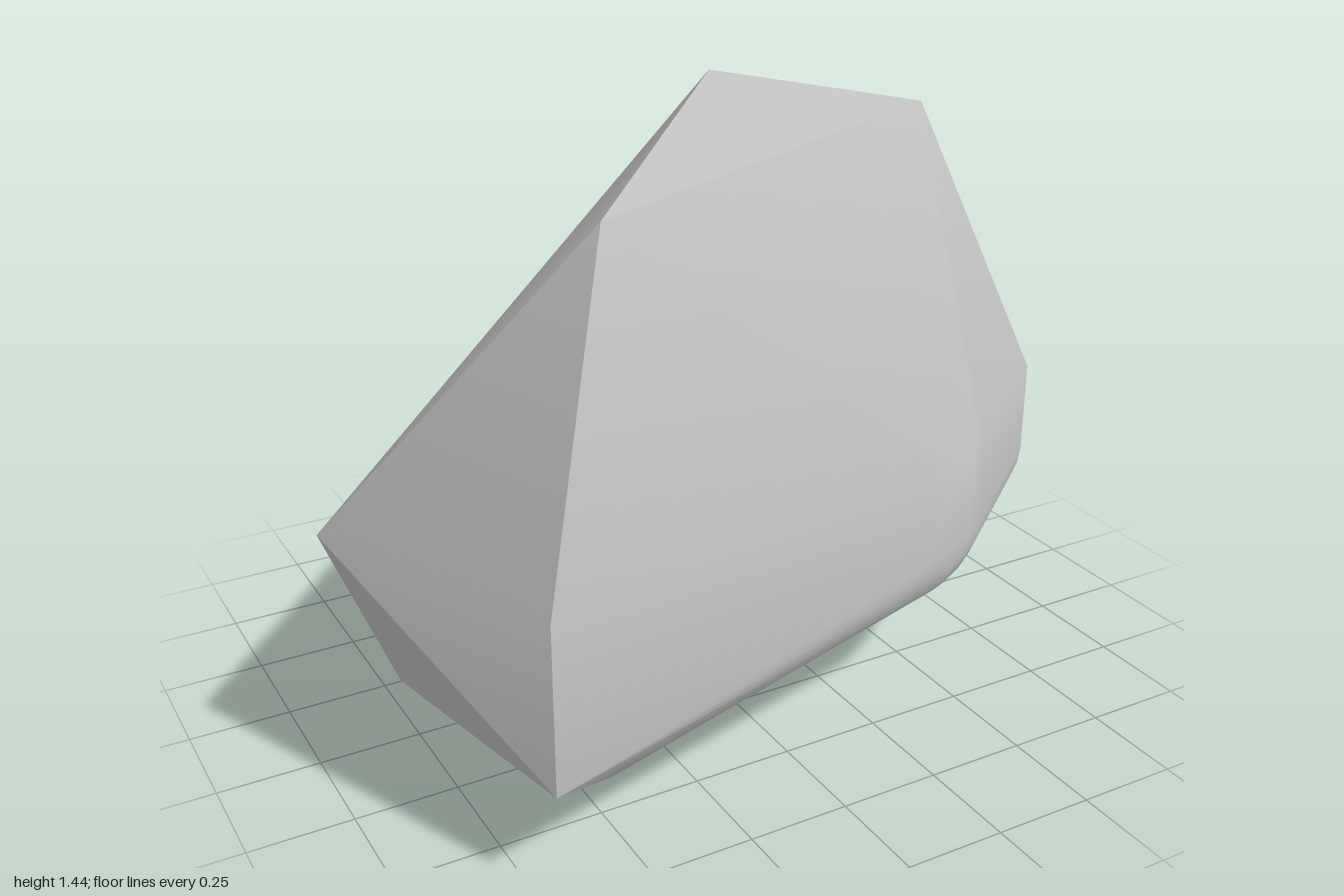
import * as THREE from 'three';
import { ConvexGeometry } from 'three/addons/geometries/ConvexGeometry.js';
import { toCreasedNormals } from 'three/addons/utils/BufferGeometryUtils.js';

export function createModel() {
  const group = new THREE.Group();
  group.name = 'rock';
  const stone = new THREE.MeshStandardMaterial({ color: 0xc8c8c8 });
  stone.name = 'stone grey';

  // Sharp corners: top triangle, pointed end, small underside
  const corners = [
    [-0.535, 1.44, 0.63], [0.6, 1.44, 0.095], [0.33, 1.44, -0.475],
    [-1, 0.68, 0.155], [-0.72, 0.68, 0.75], [-0.72, 0.275, 0.75],
    [-0.8, 0.19, 0.04], [-0.535, 0.19, 0.63],
    [0.11, 0, 0.0], [0.255, 0, 0.02], [0.18, 0, -0.125],
  ];

  // Worn corners around the waist, as x and z
  const waist = [
    [0.36, 0.55], [0.45, 0.525], [0.53, 0.48], [0.6, 0.43],
    [0.985, 0.12], [1, 0.085], [0.995, 0.045],
    [0.64, -0.705], [0.615, -0.745], [0.58, -0.757],
    [0.06, -0.667], [-0.03, -0.64], [-0.1, -0.6], [-0.16, -0.555],
  ];

  // Waist rings: straight sides, then a rounded lower edge
  const rings = [[0.68, 1], [0.44, 1], [0.395, 0.991], [0.35, 0.965], [0.315, 0.915]];
  const cx = 0.2, cz = -0.05;
  for (const [y, s] of rings) {
    for (const [x, z] of waist) corners.push([cx + (x - cx) * s, y, cz + (z - cz) * s]);
  }

  const hull = new ConvexGeometry(corners.map((p) => new THREE.Vector3(...p)));
  const boulder = new THREE.Mesh(toCreasedNormals(hull, 0.45), stone);
  boulder.name = 'boulder';
  group.add(boulder);
  return group;
}
